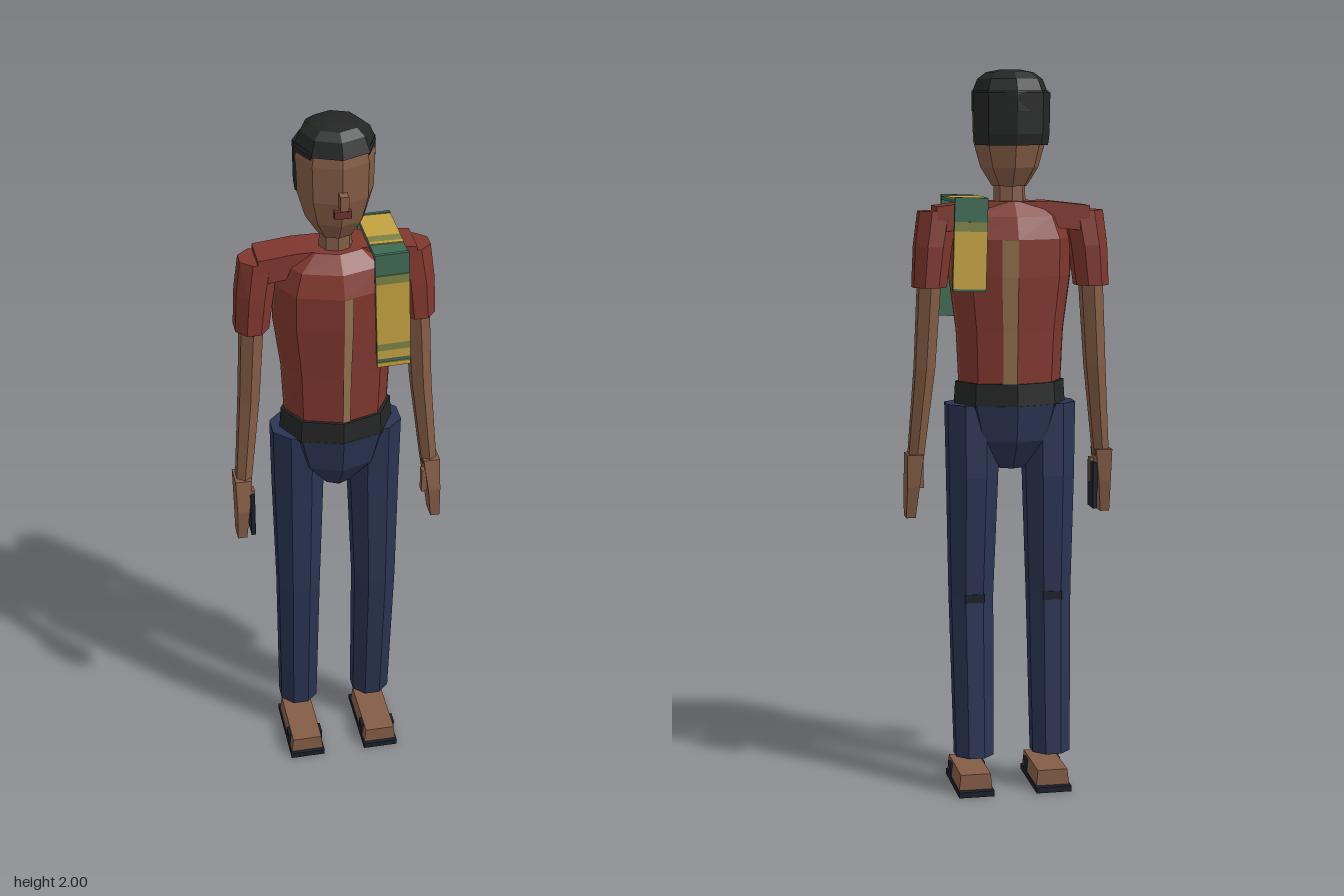
import * as THREE from 'three';

const mat = (name, color, extra = {}) =>
  Object.assign(new THREE.MeshStandardMaterial({ color, flatShading: true, ...extra }), { name });
const M = {
  shirt: mat('shirt red', 0x7f372e),
  skin: mat('skin brown', 0x835c45),
  denim: mat('trouser navy', 0x2a3452),
  hair: mat('hair black', 0x242525),
  dark: mat('sole dark', 0x1b1f2a),
  yellow: mat('scarf yellow', 0xc2a140),
  green: mat('scarf green', 0x3e6a54),
  olive: mat('scarf olive', 0x7b8145),
  mouth: mat('lip red', 0x6c302c),
  stripe: mat('stripe tan', 0x94714f, { side: THREE.DoubleSide }),
};

// Solid through rings [cx, y, cz, rx, rz] listed bottom to top; flat = faces (not corners) on the axes
function loft(rings, sides = 8, flat = false) {
  const phase = flat ? Math.PI / sides : 0, k = 1 / Math.cos(phase), pos = [];
  const p = (r, i) => {
    const a = (i / sides) * Math.PI * 2 + phase;
    return [r[0] + r[3] * k * Math.sin(a), r[1], r[2] + r[4] * k * Math.cos(a)];
  };
  const top = rings[rings.length - 1], bottom = rings[0];
  for (let i = 0; i < sides; i++) {
    for (let j = 0; j + 1 < rings.length; j++) {
      const a = p(rings[j], i), b = p(rings[j], i + 1), c = p(rings[j + 1], i + 1), d = p(rings[j + 1], i);
      pos.push(...a, ...b, ...c, ...a, ...c, ...d);
    }
    pos.push(top[0], top[1], top[2], ...p(top, i), ...p(top, i + 1));
    pos.push(bottom[0], bottom[1], bottom[2], ...p(bottom, i + 1), ...p(bottom, i));
  }
  return toGeometry(pos);
}

function toGeometry(pos) {
  const g = new THREE.BufferGeometry();
  g.setAttribute('position', new THREE.Float32BufferAttribute(pos, 3));
  g.computeVertexNormals();
  return g;
}

function add(parent, name, geometry, material) {
  const mesh = new THREE.Mesh(geometry, material);
  mesh.name = name;
  parent.add(mesh);
  return mesh;
}

// Box given by its minimum and maximum corners
function box(parent, name, material, x0, x1, y0, y1, z0, z1) {
  const g = new THREE.BoxGeometry(x1 - x0, y1 - y0, z1 - z0);
  g.translate((x0 + x1) / 2, (y0 + y1) / 2, (z0 + z1) / 2);
  return add(parent, name, g, material);
}

const TORSO = [
  [0, 1.15, -0.005, 0.143, 0.106],
  [0, 1.3, -0.006, 0.15, 0.114],
  [0, 1.45, -0.006, 0.17, 0.125],
  [0, 1.55, -0.006, 0.17, 0.127],
  [0, 1.61, -0.006, 0.145, 0.105],
  [0, 1.65, -0.008, 0.085, 0.065],
];

// Thin strip lying on the torso, between two positions u counted in octagon corners
function torsoStripe(u0, u1, count) {
  const pos = [];
  const p = (r, u) => {
    const i = Math.floor(u), t = u - i, a = (i * Math.PI) / 4, b = a + Math.PI / 4;
    const s = Math.sin(a) * (1 - t) + Math.sin(b) * t, c = Math.cos(a) * (1 - t) + Math.cos(b) * t;
    return [r[0] + (r[3] + 0.003) * s, r[1], r[2] + (r[4] + 0.003) * c];
  };
  for (let j = 0; j + 1 < count; j++) {
    const a = p(TORSO[j], u0), b = p(TORSO[j], u1), c = p(TORSO[j + 1], u1), d = p(TORSO[j + 1], u0);
    pos.push(...a, ...b, ...c, ...a, ...c, ...d);
  }
  return toGeometry(pos);
}

function buildHead() {
  const head = new THREE.Group();
  head.name = 'head';
  add(head, 'neck', loft([[0, 1.62, -0.003, 0.045, 0.042], [0, 1.72, -0.003, 0.043, 0.04]]), M.skin);
  add(head, 'face', loft([
    [0, 1.69, -0.004, 0.048, 0.048], [0, 1.74, -0.004, 0.08, 0.08], [0, 1.81, -0.004, 0.1, 0.097],
    [0, 1.91, -0.004, 0.103, 0.099], [0, 1.95, -0.004, 0.095, 0.092],
  ]), M.skin);
  add(head, 'hairCap', loft([
    [0, 1.935, -0.011, 0.106, 0.106], [0, 1.975, -0.011, 0.09, 0.09],
    [0, 1.993, -0.011, 0.066, 0.066], [0, 2, -0.011, 0.03, 0.03],
  ]), M.hair);
  add(head, 'hairSides', loft([[0, 1.89, -0.017, 0.107, 0.1], [0, 1.945, -0.014, 0.105, 0.1]]), M.hair);
  add(head, 'hairBack', loft([[0, 1.8, -0.035, 0.1, 0.071], [0, 1.83, -0.036, 0.104, 0.076], [0, 1.94, -0.036, 0.106, 0.08]]), M.hair);
  box(head, 'nose', M.skin, -0.011, 0.011, 1.805, 1.845, 0.08, 0.117);
  box(head, 'mouth', M.mouth, -0.022, 0.022, 1.773, 1.793, 0.08, 0.096);
  return head;
}

function buildTorso() {
  const torso = new THREE.Group();
  torso.name = 'torso';
  add(torso, 'shirt', loft(TORSO), M.shirt);
  // Shoulder yoke, sloping down at its ends
  const yoke = new THREE.BoxGeometry(0.42, 0.07, 0.1, 4, 1, 1);
  const p = yoke.attributes.position;
  for (let i = 0; i < p.count; i++) if (Math.abs(p.getX(i)) > 0.2) p.setY(i, p.getY(i) - 0.012);
  yoke.translate(0, 1.615, -0.018);
  add(torso, 'shoulderYoke', yoke, M.shirt);
  // Vertical stripes at front, both sides and back
  [[0, 0.2, 4], [1.86, 2.14, 4], [3.65, 4, 4], [5.86, 6.14, 4]].forEach(([a, b, n]) =>
    add(torso, 'shirtStripe', torsoStripe(a, b, n), M.stripe));
  add(torso, 'belt', loft([[0, 1.095, -0.004, 0.156, 0.118], [0, 1.16, -0.004, 0.152, 0.114]]), M.hair);
  add(torso, 'pelvis', loft([
    [0, 0.92, -0.005, 0.045, 0.05], [0, 1.0, -0.005, 0.12, 0.105], [0, 1.1, -0.005, 0.153, 0.12],
  ]), M.denim);
  return torso;
}

// One arm, leg and foot on the +x side
function buildLimbs(name) {
  const g = new THREE.Group();
  g.name = name;
  add(g, 'sleeve', loft([
    [0.225, 1.42, -0.018, 0.045, 0.055], [0.215, 1.53, -0.018, 0.05, 0.056], [0.2, 1.625, -0.018, 0.053, 0.048],
  ], 8, true), M.shirt);
  add(g, 'arm', loft([
    [0.262, 0.94, 0.008, 0.024, 0.03], [0.238, 1.2, -0.012, 0.031, 0.04], [0.223, 1.46, -0.016, 0.035, 0.044],
  ], 6), M.skin);
  add(g, 'hand', loft([
    [0.275, 0.78, 0.03, 0.013, 0.025], [0.27, 0.87, 0.022, 0.017, 0.037], [0.265, 0.96, 0.008, 0.023, 0.034],
  ], 4, true), M.skin);
  box(g, 'thumb', M.skin, 0.236, 0.252, 0.86, 0.93, 0.024, 0.046);
  add(g, 'thigh', loft([
    [0.11, 0.565, -0.004, 0.059, 0.06], [0.107, 0.9, -0.012, 0.068, 0.071], [0.106, 1.1, -0.008, 0.072, 0.073],
  ], 8, true), M.denim);
  add(g, 'shin', loft([[0.109, 0.11, -0.037, 0.053, 0.053], [0.11, 0.565, -0.004, 0.059, 0.06]], 8, true), M.denim);
  box(g, 'kneeFold', M.dark, 0.083, 0.137, 0.548, 0.572, -0.067, -0.055);
  box(g, 'sole', M.dark, 0.06, 0.16, 0, 0.016, -0.095, 0.133);
  // Foot, narrower at the top
  const foot = box(g, 'foot', M.skin, 0.063, 0.157, 0.016, 0.06, -0.076, 0.122);
  const p = foot.geometry.attributes.position;
  for (let i = 0; i < p.count; i++) if (p.getY(i) > 0.05) p.setX(i, 0.11 + (p.getX(i) - 0.11) * 0.9);
  box(g, 'sandalStrap', M.dark, 0.06, 0.16, 0.016, 0.053, 0.055, 0.09);
  return g;
}

// Mirrors geometry across x = 0 and reverses its triangles
function mirrored(source, name) {
  const g = source.clone(true);
  g.name = name;
  g.children.forEach((m) => {
    m.geometry = m.geometry.index ? m.geometry.toNonIndexed() : m.geometry.clone();
    const p = m.geometry.attributes.position;
    for (let i = 0; i < p.count; i += 3) {
      const v = [0, 2, 1].map((k) => new THREE.Vector3().fromBufferAttribute(p, i + k));
      v.forEach((q, k) => p.setXYZ(i + k, -q.x, q.y, q.z));
    }
    m.geometry.computeVertexNormals();
  });
  return g;
}

function buildScarf() {
  const scarf = new THREE.Group();
  scarf.name = 'scarf';
  const x0 = 0.081, x1 = 0.171, t = 0.003;
  // Top panel with coloured bands
  box(scarf, 'scarfTop', M.green, x0, x1, 1.65, 1.66, -0.125, 0.105);
  [[M.yellow, -0.115, 0], [M.olive, 0, 0.03], [M.yellow, 0.03, 0.042]].forEach(([m, a, b]) =>
    box(scarf, 'topBand', m, x0, x1, 1.66, 1.66 + t, a, b));
  // Hanging ends, each tilted slightly outward
  const end = (name, z, dir, length, bands) => {
    const g = new THREE.Group();
    g.name = name;
    g.position.set(0, 1.66, z);
    g.rotation.z = 0.03;
    box(g, 'scarfPanel', M.green, x0, x1, -length, 0, -0.005, 0.005);
    bands.forEach(([m, a, b]) =>
      box(g, 'scarfBand', m, x0, x1, -b, -a, dir > 0 ? 0.005 : -0.005 - t, dir > 0 ? 0.005 + t : -0.005));
    scarf.add(g);
  };
  end('scarfFront', 0.1, 1, 0.335, [
    [M.olive, 0.06, 0.085], [M.yellow, 0.085, 0.265], [M.olive, 0.265, 0.285], [M.yellow, 0.285, 0.31], [M.yellow, 0.322, 0.335],
  ]);
  end('scarfBack', -0.122, -1, 0.25, [[M.olive, 0.065, 0.09], [M.yellow, 0.09, 0.243]]);
  return scarf;
}

export function createModel() {
  const model = new THREE.Group();
  model.name = 'standingPerson';
  const left = buildLimbs('leftLimbs');
  model.add(buildHead(), buildTorso(), left, mirrored(left, 'rightLimbs'), buildScarf());
  // Handheld device against the right palm
  box(model, 'phone', M.dark, -0.25, -0.238, 0.79, 0.92, -0.008, 0.06);
  return model;
}
